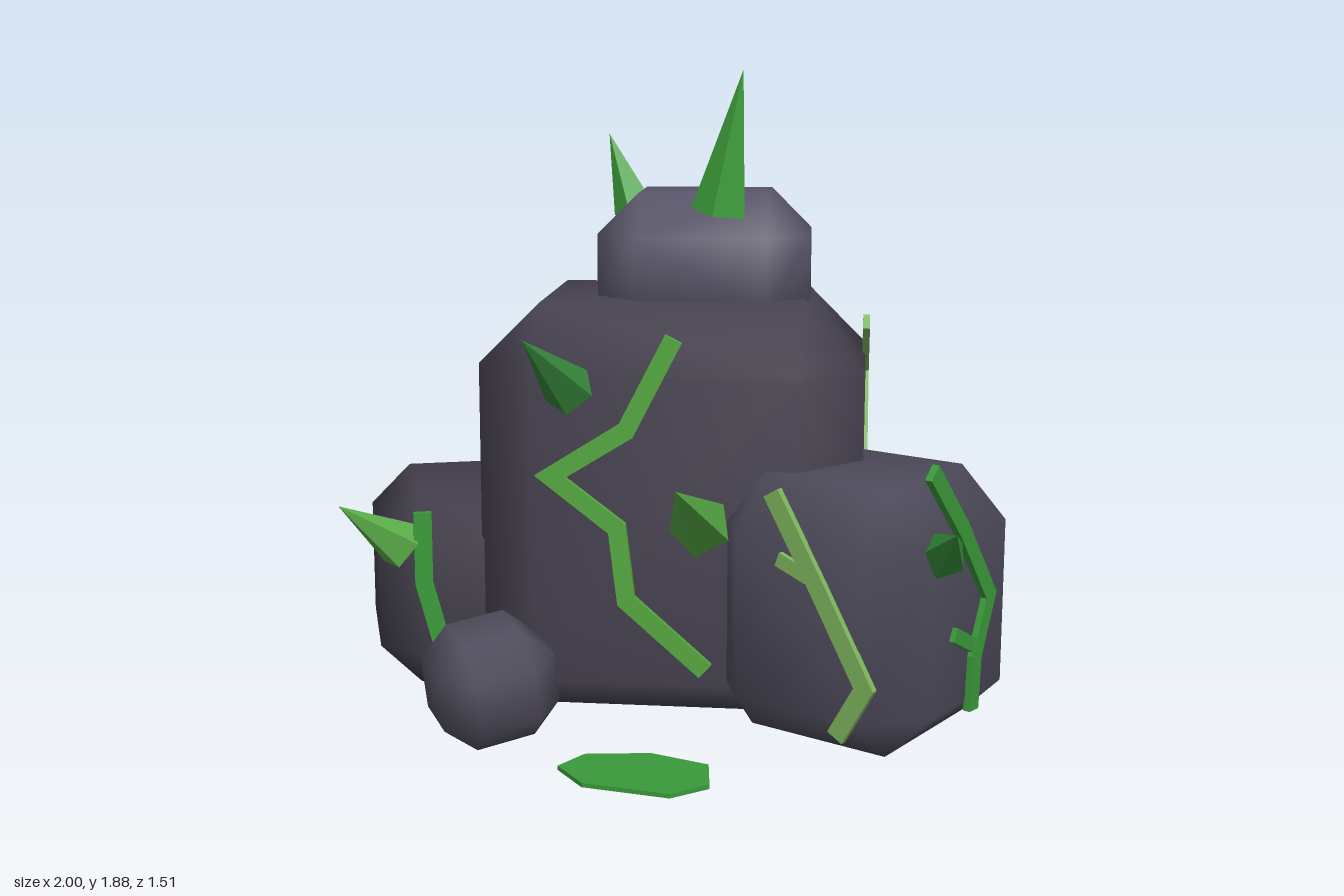
import * as THREE from 'three';
import { mergeVertices } from 'three/addons/utils/BufferGeometryUtils.js';
import { ConvexGeometry } from 'three/addons/geometries/ConvexGeometry.js';

const material = (color, flatShading = false) => new THREE.MeshStandardMaterial({ color, flatShading });

// Box with chamfered edges and corners; the bottom chamfer can differ
function rockGeometry([hx, hy, hz], c, cb = c) {
  const points = [];
  for (const sx of [-1, 1]) for (const sy of [-1, 1]) for (const sz of [-1, 1]) {
    const e = sy < 0 ? cb : c;
    points.push(
      new THREE.Vector3(sx * hx, sy * (hy - e), sz * (hz - c)),
      new THREE.Vector3(sx * (hx - e), sy * hy, sz * (hz - e)),
      new THREE.Vector3(sx * (hx - c), sy * (hy - e), sz * hz));
  }
  let g = new ConvexGeometry(points);
  g.deleteAttribute('normal');
  g = mergeVertices(g, 1e-4);
  g.computeVertexNormals();
  return g;
}

// Flat zigzag ribbon of constant width with mitred bends
function ribbonShape(points, width) {
  const p = points.map(([x, y]) => new THREE.Vector2(x, y));
  const left = [], right = [];
  p.forEach((q, i) => {
    const a = p[Math.max(i - 1, 0)], b = p[Math.min(i + 1, p.length - 1)];
    const d1 = (i ? q.clone().sub(a) : b.clone().sub(q)).normalize();
    const d2 = (i < p.length - 1 ? b.clone().sub(q) : d1.clone()).normalize();
    const n1 = new THREE.Vector2(-d1.y, d1.x);
    const n = n1.clone().add(new THREE.Vector2(-d2.y, d2.x)).normalize();
    n.multiplyScalar(width / 2 / Math.max(n.dot(n1), 0.6));
    left.push(q.clone().add(n));
    right.unshift(q.clone().sub(n));
  });
  return new THREE.Shape([...left, ...right]);
}

export function createModel() {
  const model = new THREE.Group();
  const add = (name, geometry, mat, parent = model) => {
    const mesh = new THREE.Mesh(geometry, mat);
    mesh.name = name;
    parent.add(mesh);
    return mesh;
  };

  // Boulders and pebbles: centre, half size, chamfers, rotation
  const rocks = [
    ['mainBoulder', 0x46414f, [-0.005, 0.635, -0.218], [0.555, 0.585, 0.438], 0.18, 0.1, [0, 0.2, 0]],
    ['topBoulder', 0x5a566a, [0.061, 1.3, -0.282], [0.31, 0.22, 0.253], 0.12, 0.12, [0, 0.21, 0]],
    ['leftBoulder', 0x4d4a5a, [0.612, 0.415, 0.019], [0.335, 0.365, 0.35], 0.14, 0.12, [0, -0.33, 0]],
    ['rightBoulder', 0x423e4b, [-0.644, 0.343, -0.125], [0.3, 0.293, 0.318], 0.12, 0.12, [0, 0.5, 0]],
    ['frontPebble', 0x504c5c, [-0.375, 0.178, 0.39], [0.17, 0.16, 0.17], 0.085, 0.085, [0.13, 0.7, 0.06]],
    ['backPebble', 0x46424f, [0.655, 0.15, -0.583], [0.15, 0.115, 0.155], 0.07, 0.07, [0.15, 0.65, 0.08]],
  ];
  for (const [name, color, position, half, c, cb, rotation] of rocks) {
    const rock = add(name, rockGeometry(half, c, cb), material(color));
    rock.position.set(...position);
    rock.rotation.set(...rotation);
  }

  // Vines on a rock face: yaw of the face, its distance from the centre axis,
  // and paths given as [x, y] on front faces or [z, y] on side faces
  const vines = [
    ['mainFrontVine', 0x55a840, 0.2, 0.222, false,
      [[[0.11, 1.15], [-0.02, 0.89], [-0.23, 0.755], [-0.045, 0.61], [-0.02, 0.4], [0.2, 0.2]]]],
    ['mainSideVine', 0x7db45c, 0.2 + Math.PI / 2, 0.585, true,
      [[[-0.27, 1.15], [-0.44, 0.98], [-0.27, 0.82], [-0.23, 0.74]], [[-0.43, 0.97], [-0.57, 1.05]]]],
    ['leftFrontVine', 0x7db45c, -0.33, 0.168, false,
      [[[0.43, 0.77], [0.57, 0.53], [0.71, 0.28], [0.63, 0.13]], [[0.45, 0.59], [0.54, 0.555]]]],
    ['leftSideVine', 0x3a9a3a, -0.33 + Math.PI / 2, 0.918, true,
      [[[0.36, 0.86], [0.19, 0.67], [0.03, 0.45], [0.1, 0.29], [0.11, 0.14]], [[0.22, 0.385], [0.09, 0.315]]]],
    ['rightFrontVine', 0x3a9a3a, 0.5, -0.1, false,
      [[[-0.645, 0.61], [-0.645, 0.4], [-0.58, 0.11]]]],
  ];
  for (const [name, color, yaw, distance, side, paths] of vines) {
    const vine = new THREE.Group();
    vine.name = name;
    vine.rotation.y = yaw;
    vine.position.set(distance * Math.sin(yaw), 0, distance * Math.cos(yaw));
    const along = (w) => side
      ? (distance * Math.cos(yaw) - w) / Math.sin(yaw)
      : (w - distance * Math.sin(yaw)) / Math.cos(yaw);
    paths.forEach((path, i) => {
      const shape = ribbonShape(path.map(([w, y]) => [along(w), y]), i ? 0.04 : 0.052);
      const geometry = new THREE.ExtrudeGeometry(shape, { depth: 0.02 - i * 0.002, bevelEnabled: false });
      add(i ? 'vineBranch' : 'vineStem', geometry, material(color, true), vine);
    });
    model.add(vine);
  }

  // Crystal spikes: base centre, tip, radius
  const spikes = [
    ['tallTopSpike', 0x3fa03c, [0.145, 1.47, -0.135], [0.22, 1.875, -0.1], 0.085],
    ['smallTopSpike', 0x3fa03c, [-0.165, 1.46, -0.29], [-0.26, 1.68, -0.33], 0.065],
    ['upperFrontSpike', 0x36873a, [-0.16, 1.005, 0.3], [-0.21, 1.18, 0.53], 0.075],
    ['lowerFrontSpike', 0x55ac44, [0.25, 0.68, 0.41], [0.28, 0.855, 0.74], 0.085],
    ['rightSpike', 0x5aae48, [-0.71, 0.5, 0.24], [-0.83, 0.65, 0.4], 0.075],
    ['leftSpike', 0x36923a, [0.88, 0.62, 0.29], [0.94, 0.725, 0.46], 0.065],
  ];
  const up = new THREE.Vector3(0, 1, 0);
  for (const [name, color, base, tip, radius] of spikes) {
    const b = new THREE.Vector3(...base), t = new THREE.Vector3(...tip);
    const axis = t.clone().sub(b);
    const spike = add(name, new THREE.ConeGeometry(radius, axis.length(), 5), material(color, true));
    spike.position.copy(b).add(t).multiplyScalar(0.5);
    spike.quaternion.setFromUnitVectors(up, axis.normalize());
  }

  // Flat slab lying in front
  const outline = [[-0.07, 0.66], [-0.03, 0.56], [0.14, 0.5], [0.31, 0.53], [0.35, 0.66], [0.27, 0.75], [0.03, 0.75]];
  const slabShape = new THREE.Shape(outline.map(([x, z]) => new THREE.Vector2(x, -z)));
  const slab = add('groundSlab', new THREE.ExtrudeGeometry(slabShape, { depth: 0.012, bevelEnabled: false }), material(0x3a9a3a, true));
  slab.rotation.x = -Math.PI / 2;
  slab.position.y = 0.05;

  return model;
}
